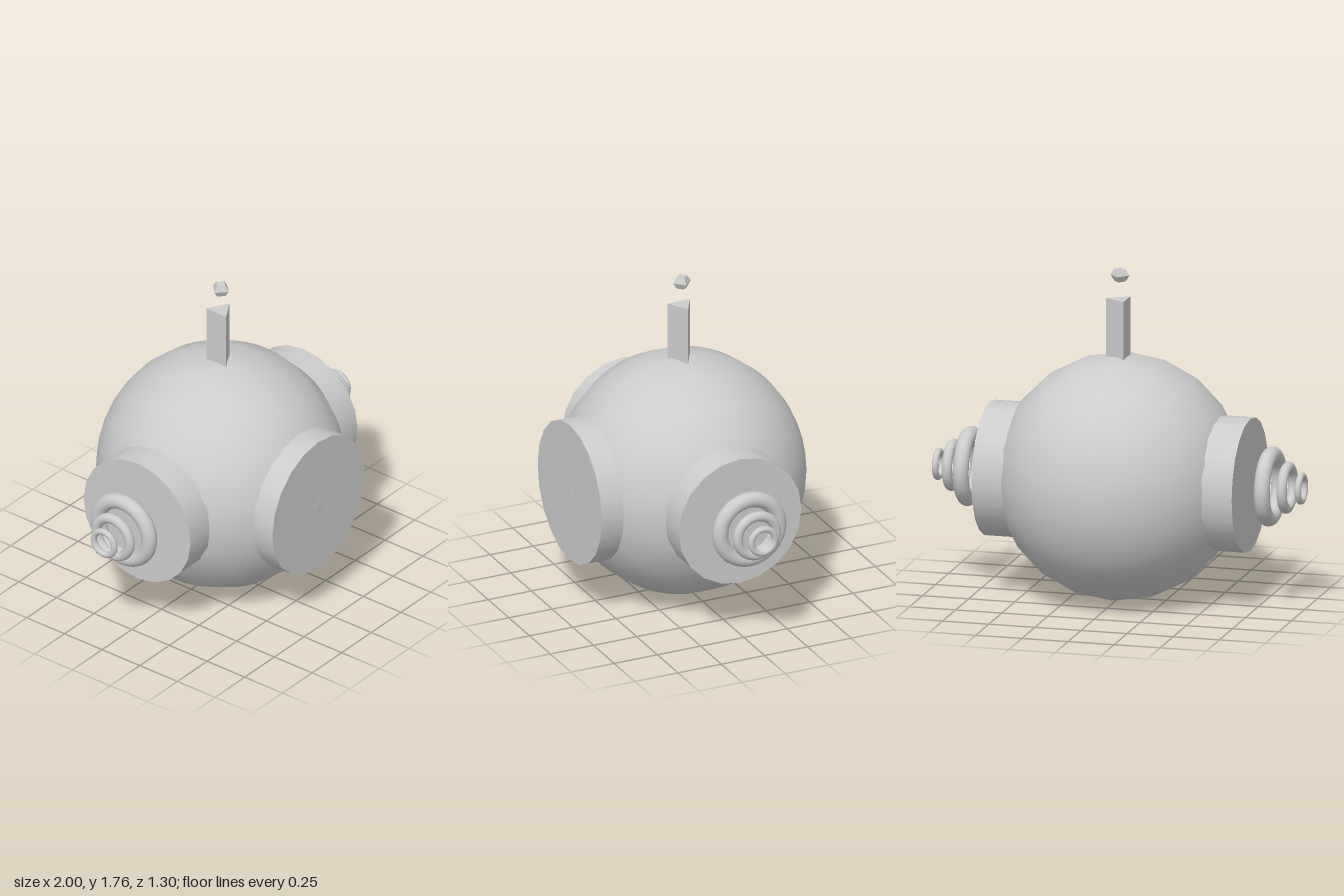
import * as THREE from 'three';

const CENTER_Y = 0.652;

export function createModel() {
  const model = new THREE.Group();
  const smooth = new THREE.MeshStandardMaterial({ color: 0xcccccc });
  const faceted = new THREE.MeshStandardMaterial({ color: 0xcccccc, flatShading: true });

  function add(name, geometry, x, y, z, material = smooth) {
    const mesh = new THREE.Mesh(geometry, material);
    mesh.name = name;
    mesh.position.set(x, y, z);
    model.add(mesh);
    return mesh;
  }

  // Round shell, its poles along z
  add('body', new THREE.SphereGeometry(0.65, 20, 32).rotateX(Math.PI / 2), 0, CENTER_Y, 0);

  // Round front window
  add('frontPort', new THREE.CylinderGeometry(0.388, 0.388, 0.25, 20).rotateX(Math.PI / 2), 0, CENTER_Y, 0.523);

  // Side drums, each with three shrinking rings floating outside it
  const rings = [
    { x: 0.816, radius: 0.168, tube: 0.042 },
    { x: 0.907, radius: 0.11, tube: 0.027 },
    { x: 0.983, radius: 0.068, tube: 0.017 },
  ];
  for (const [side, label] of [[1, 'left'], [-1, 'right']]) {
    add(label + 'Drum', new THREE.CylinderGeometry(0.355, 0.355, 0.3, 20).rotateZ(Math.PI / 2),
      side * 0.555, CENTER_Y, 0);
    rings.forEach(({ x, radius, tube }, i) => {
      add(label + 'Ring' + (i + 1), new THREE.TorusGeometry(radius, tube, 16, 40).rotateY(Math.PI / 2),
        side * x, CENTER_Y, 0);
    });
  }

  // Three-sided antenna mast, one edge facing +x
  add('antennaMast', new THREE.CylinderGeometry(0.075, 0.075, 0.36, 3).rotateY(Math.PI / 2), 0, 1.425, 0, faceted);

  // Small four-sided bead hovering above the mast
  const bead = [[0, -0.033], [0.03, -0.033], [0.052, 0], [0.03, 0.033], [0, 0.033]]
    .map(([r, y]) => new THREE.Vector2(r, y));
  add('antennaTip', new THREE.LatheGeometry(bead, 4), 0, 1.733, 0, faceted);

  return model;
}
